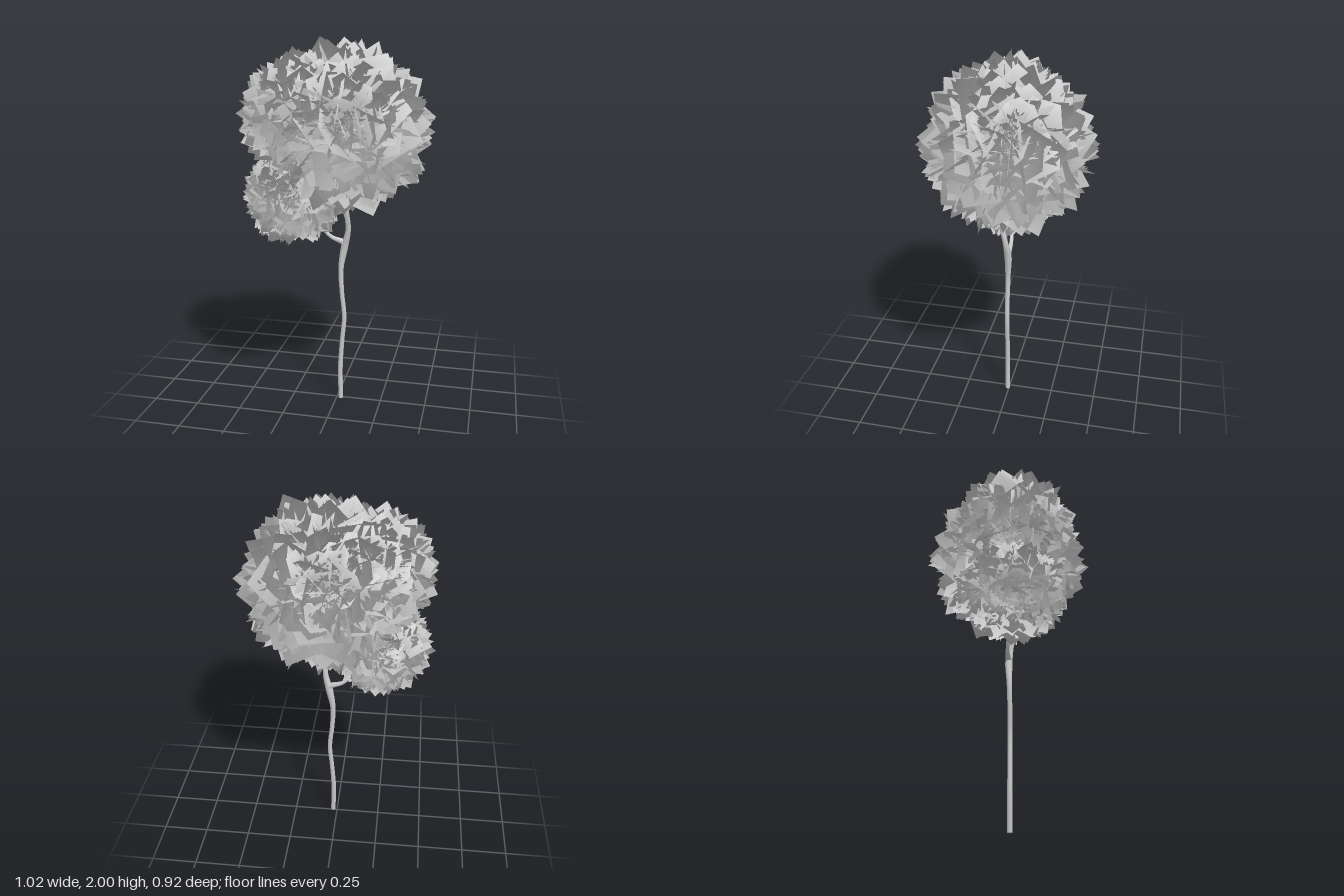
import * as THREE from 'three';

// Small seeded random generator
function seeded(seed) {
  let s = seed;
  return () => {
    s = (s * 1664525 + 1013904223) % 4294967296;
    return s / 4294967296;
  };
}

const barkMaterial = new THREE.MeshStandardMaterial({ color: 0xcccccc });
const leafMaterial = new THREE.MeshStandardMaterial({ color: 0xcccccc, side: THREE.DoubleSide });

// Tapered tube through points [x, y, z, radius]
function limb(name, points, segments, sides = 7) {
  const curve = new THREE.CatmullRomCurve3(points.map(p => new THREE.Vector3(p[0], p[1], p[2])));
  const geometry = new THREE.TubeGeometry(curve, segments, 1, sides, false);
  const pos = geometry.attributes.position;
  const v = new THREE.Vector3();
  for (let i = 0; i <= segments; i++) {
    const t = i / segments;
    const center = curve.getPointAt(t);
    const f = curve.getUtoTmapping(t) * (points.length - 1);
    const k = Math.min(Math.floor(f), points.length - 2);
    const radius = THREE.MathUtils.lerp(points[k][3], points[k + 1][3], f - k);
    for (let j = 0; j <= sides; j++) {
      const n = i * (sides + 1) + j;
      v.fromBufferAttribute(pos, n).sub(center).multiplyScalar(radius).add(center);
      pos.setXYZ(n, v.x, v.y, v.z);
    }
  }
  const mesh = new THREE.Mesh(geometry, barkMaterial);
  mesh.name = name;
  return mesh;
}

// Ball of large square leaf cards that all cross near its centre, facing every way;
// the corners form the spiky outline and the normals point outwards
function leafBall({ name, center, radius, count, seed }) {
  const random = seeded(seed);
  const spread = amount => (random() - 0.5) * 2 * amount;
  const positions = [], normals = [], index = [];
  const c = new THREE.Vector3(...center);
  const front = new THREE.Vector3(0, 0, 1);
  const turn = new THREE.Quaternion(), spin = new THREE.Quaternion();
  for (let i = 0; i < count; i++) {
    // Even spread of facing directions
    const y = 1 - 2 * (i + 0.5) / count;
    const angle = i * 2.39996 + spread(0.2);
    const ring = Math.sqrt(1 - y * y);
    const face = new THREE.Vector3(ring * Math.cos(angle), y, ring * Math.sin(angle));
    const half = radius * (0.9 + random() * 0.1) * Math.SQRT1_2;
    const offset = new THREE.Vector3(spread(1), spread(1), spread(1)).multiplyScalar(radius * 0.06);
    turn.setFromUnitVectors(front, face);
    turn.multiply(spin.setFromAxisAngle(front, random() * Math.PI * 2));
    const base = positions.length / 3;
    for (const [u, w] of [[-1, -1], [1, -1], [1, 1], [-1, 1]]) {
      const p = new THREE.Vector3(u * half, w * half, 0).applyQuaternion(turn).add(offset);
      const n = p.clone().normalize().addScaledVector(face, 0.4).normalize();
      p.add(c);
      positions.push(p.x, p.y, p.z);
      normals.push(n.x, n.y, n.z);
    }
    index.push(base, base + 1, base + 2, base, base + 2, base + 3);
  }
  const geometry = new THREE.BufferGeometry();
  geometry.setAttribute('position', new THREE.Float32BufferAttribute(positions, 3));
  geometry.setAttribute('normal', new THREE.Float32BufferAttribute(normals, 3));
  geometry.setIndex(index);
  const mesh = new THREE.Mesh(geometry, leafMaterial);
  mesh.name = name;
  return mesh;
}

export function createModel() {
  const tree = new THREE.Group();
  tree.name = 'tree';

  // Wavy trunk that runs on into the large crown
  tree.add(limb('trunk', [
    [0.023, 0.005, 0.008, 0.014], [0.02, 0.2, 0.008, 0.014], [0.03, 0.36, 0.008, 0.013],
    [0.041, 0.5, 0.008, 0.013], [0.027, 0.65, 0.008, 0.013], [0.022, 0.78, 0.006, 0.015],
    [0.04, 0.9, 0.002, 0.021], [0.062, 1.0, 0.012, 0.015], [0.056, 1.12, 0.035, 0.014],
    [0.05, 1.3, 0.03, 0.011], [0.06, 1.5, 0.0, 0.006],
  ], 60));

  // Flat cap under the trunk
  const foot = new THREE.Mesh(new THREE.CircleGeometry(0.014, 7).rotateX(Math.PI / 2), barkMaterial);
  foot.position.set(0.023, 0.005, 0.008);
  foot.name = 'trunkFoot';
  tree.add(foot);

  // Side branches
  tree.add(limb('lowerBranch', [
    [0.045, 0.925, 0.002, 0.019], [0.01, 0.937, 0.0, 0.014], [-0.03, 0.952, 0.0, 0.011],
    [-0.068, 0.99, 0.005, 0.01], [-0.09, 1.05, 0.015, 0.009], [-0.16, 1.13, 0.03, 0.007], [-0.24, 1.18, 0.04, 0.004],
  ], 30));
  tree.add(limb('upperBranch', [
    [0.055, 1.08, 0.03, 0.012], [0.01, 1.22, 0.035, 0.01], [-0.08, 1.4, 0.04, 0.008], [-0.16, 1.58, 0.05, 0.004],
  ], 16));

  // Foliage
  const balls = [
    { name: 'largeCrown', center: [0.05, 1.54, 0], radius: 0.455, count: 150, seed: 11 },
    { name: 'sideCrown', center: [-0.16, 1.6, 0.045], radius: 0.345, count: 150, seed: 23 },
    { name: 'lowerCrown', center: [-0.23, 1.185, 0.04], radius: 0.275, count: 150, seed: 37 },
  ];
  balls.forEach(ball => tree.add(leafBall(ball)));

  return tree;
}
